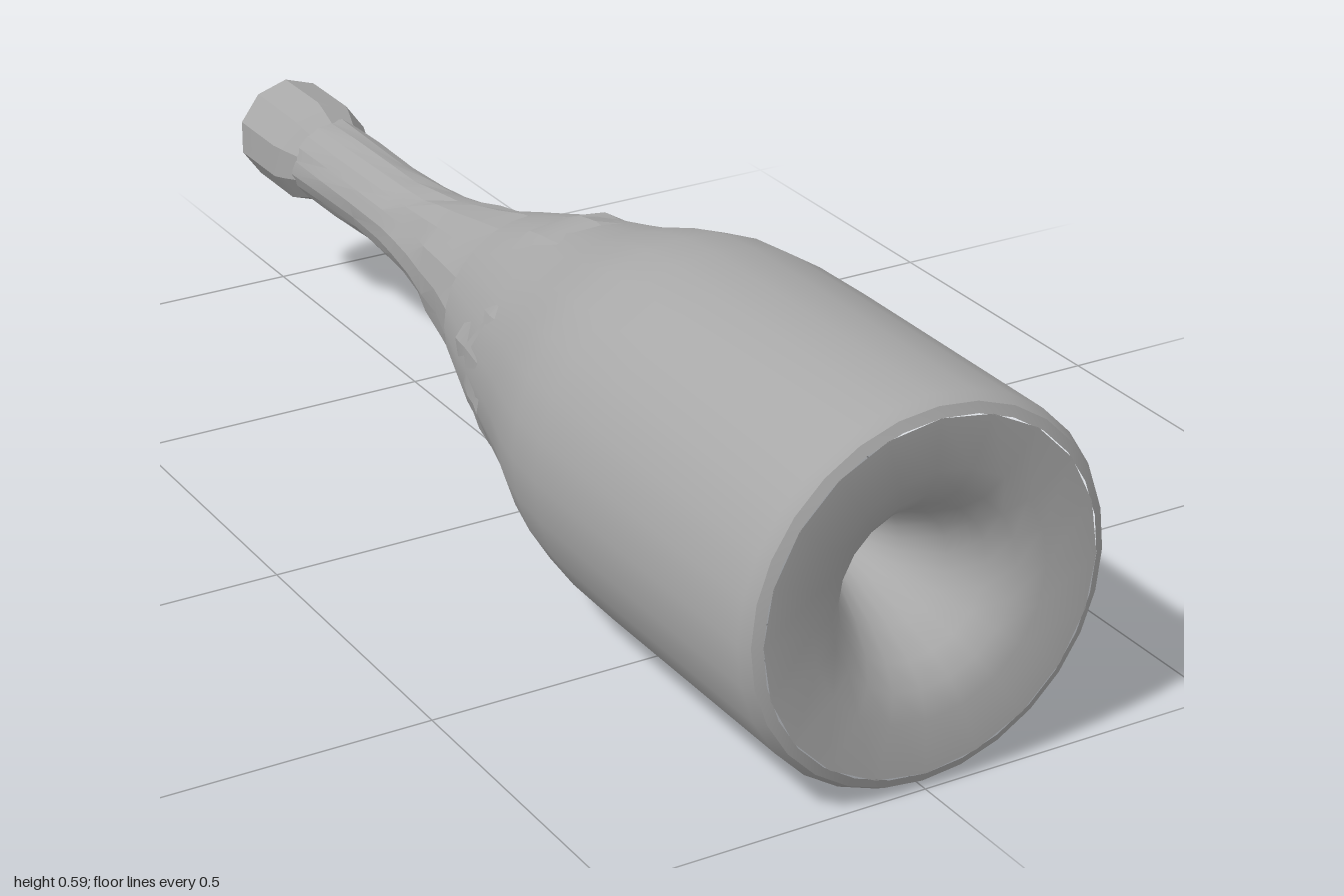
import * as THREE from 'three';
import { toCreasedNormals } from 'three/addons/utils/BufferGeometryUtils.js';

const AXIS_Y = 0.295; // height of the bottle's long axis

// Repeatable noise in -1..1 for one ring and segment
function noise(ring, seg, salt) {
  const s = Math.sin(ring * 127.1 + seg * 311.7 + salt * 74.7) * 43758.5453;
  return (s - Math.floor(s)) * 2 - 1;
}

// Turns [radius, z] pairs around the z axis, neck to base
function turned(profile, sides) {
  return new THREE.LatheGeometry(profile.map(([r, z]) => new THREE.Vector2(r, z)), sides);
}

export function createModel() {
  const group = new THREE.Group();
  group.name = 'bottle';
  const grey = new THREE.MeshStandardMaterial({ color: 0xa8a8a8 });
  grey.name = 'grey';

  const add = (name, geometry, crease) => {
    geometry.rotateX(Math.PI / 2);
    const mesh = new THREE.Mesh(toCreasedNormals(geometry, crease), grey);
    mesh.name = name;
    mesh.position.y = AXIS_Y;
    group.add(mesh);
  };

  // Smooth glass body with a narrow rim
  add('body', turned([
    [0.155, -0.1], [0.188, 0], [0.213, 0.1], [0.24, 0.2], [0.268, 0.28],
    [0.285, 0.35], [0.293, 0.43], [0.295, 0.55], [0.295, 0.975], [0.285, 0.993], [0.27, 1],
  ], 28), 0.6);

  // Base ring sinking into a hollow punt
  add('base', turned([
    [0.27, 1], [0.19, 0.995], [0.15, 0.98], [0.12, 0.95], [0.09, 0.9],
    [0.06, 0.83], [0.038, 0.76], [0, 0.76],
  ], 20), 0.7);

  // Crumpled foil over the shoulder, smoother along the neck
  const rings = [
    [0.071, -0.8], [0.07, -0.7], [0.07, -0.58], [0.073, -0.48], [0.08, -0.41],
    [0.092, -0.34], [0.108, -0.27], [0.125, -0.2], [0.144, -0.13], [0.163, -0.06],
    [0.182, -0.01], [0.194, 0.02], [0.205, 0.06], [0.215, 0.1], [0.22, 0.13],
  ];
  const sides = 18;
  const foil = turned(rings, sides);
  const pos = foil.attributes.position;
  for (let i = 0; i < pos.count; i++) {
    const ring = i % rings.length;
    const seg = Math.floor(i / rings.length) % sides;
    const scale = 1 + (ring > 3 ? 0.026 : 0.035) * noise(ring, seg, 1);
    const slide = ring > 0 ? 0.012 * noise(ring, seg, 2) : 0;
    pos.setXYZ(i, pos.getX(i) * scale, pos.getY(i) + slide, pos.getZ(i) * scale);
  }
  add('foil', foil, 0.25);

  // Faceted cork cap with a shallow dome
  add('cap', turned([
    [0, -1], [0.045, -0.993], [0.078, -0.978], [0.09, -0.965], [0.09, -0.84],
    [0.083, -0.82], [0.07, -0.79],
  ], 10), 0.5);

  return group;
}
